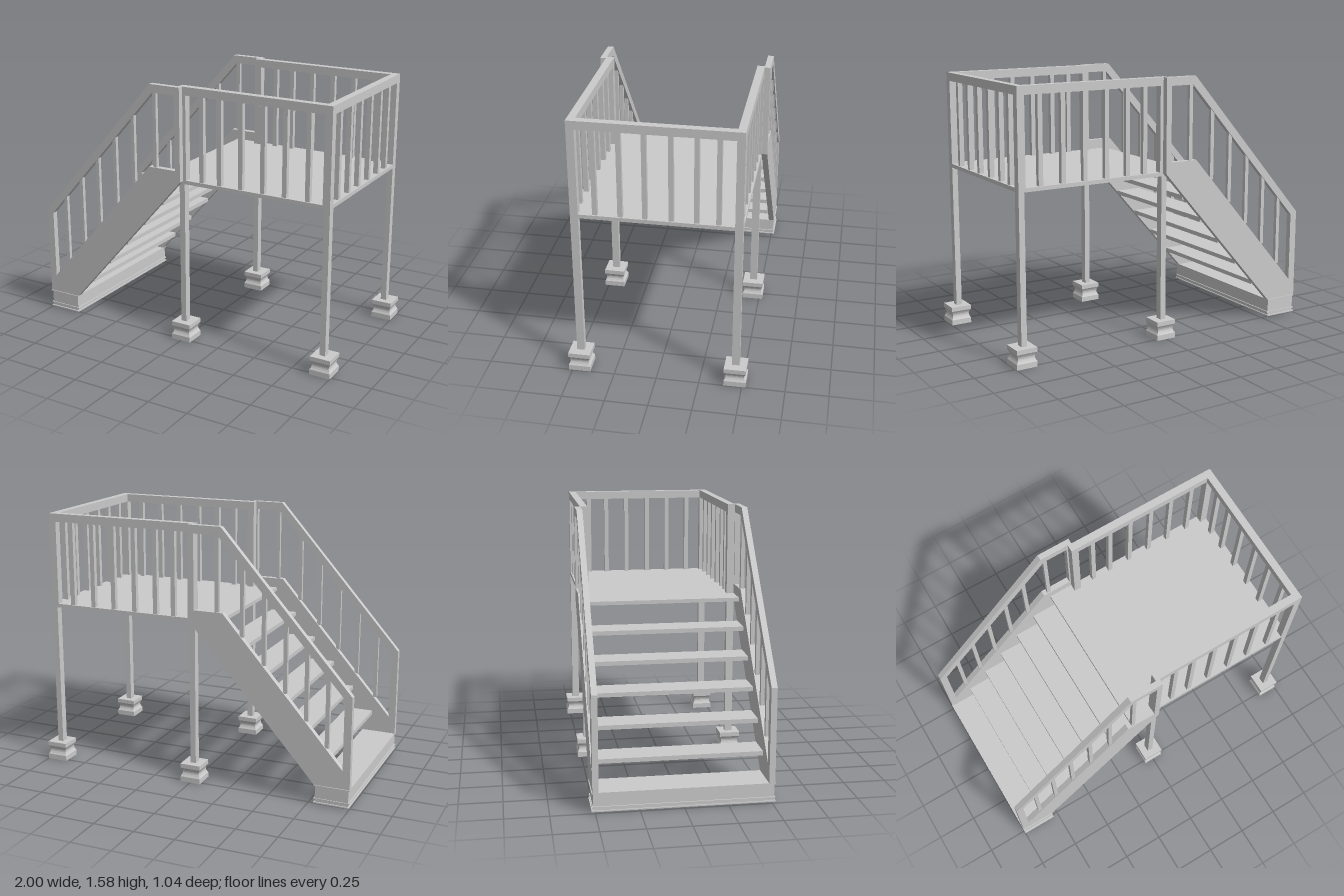
import * as THREE from 'three';

const mat = new THREE.MeshStandardMaterial({ color: 0xcccccc, flatShading: true });

export function createModel() {
  const root = new THREE.Group();
  root.name = 'raisedDeckWithStairs';

  const add = (name, geometry) => {
    const mesh = new THREE.Mesh(geometry, mat);
    mesh.name = name;
    root.add(mesh);
    return mesh;
  };
  // Box given by its limits on each axis
  const box = (name, x0, x1, y0, y1, z0, z1) => {
    const mesh = add(name, new THREE.BoxGeometry(x1 - x0, y1 - y0, z1 - z0));
    mesh.position.set((x0 + x1) / 2, (y0 + y1) / 2, (z0 + z1) / 2);
    return mesh;
  };
  // Same box on the side s (+1 left, -1 right)
  const sideBox = (name, s, x0, x1, y0, y1, z0, z1) =>
    box(name, x0, x1, y0, y1, s > 0 ? z0 : -z1, s > 0 ? z1 : -z0);
  // Flat outline in the x-y plane, given a thickness along z
  const plank = (name, points, s, z0, z1) => {
    const shape = new THREE.Shape(points.map(([x, y]) => new THREE.Vector2(x, y)));
    const geometry = new THREE.ExtrudeGeometry(shape, { depth: z1 - z0, bevelEnabled: false });
    add(name, geometry).position.z = s > 0 ? z0 : -z1;
  };

  const floorY = 1.02, railLow = 1.53, railTop = 1.58;
  const slope = 1.135;

  // Deck floor, its nose forming the last step
  box('deckFloor', -0.17, 0.95, 0.997, floorY, -0.48, 0.48);

  // Footing with a rounded groove running round all four sides
  const profile = [[0, 0], [0.064, 0], [0.064, 0.032], [0.058, 0.042], [0.054, 0.052], [0.053, 0.06],
    [0.054, 0.068], [0.058, 0.078], [0.064, 0.088], [0.064, 0.115], [0, 0.115]];
  const footing = new THREE.LatheGeometry(
    profile.map(([r, y]) => new THREE.Vector2(r * Math.SQRT2, y)), 4);
  footing.rotateY(Math.PI / 4);

  for (const s of [1, -1]) {
    // Legs, footings and upper posts
    sideBox('innerLeg', s, -0.02, 0.015, 0.1, 1.0, 0.435, 0.48);
    sideBox('outerLeg', s, 0.915, 0.95, 0.1, 1.0, 0.435, 0.48);
    for (const x of [0, 0.936]) add('footing', footing).position.set(x, 0, s * 0.458);
    sideBox('innerPost', s, -0.02, 0.025, floorY, railLow, 0.435, 0.48);
    sideBox('cornerPost', s, 0.905, 0.95, floorY, railLow, 0.435, 0.48);

    // Deck side railing
    sideBox('sideRail', s, -0.02, 0.95, railLow, railTop, 0.435, 0.48);
    for (const x of [0.125, 0.243, 0.383, 0.525, 0.664, 0.807])
      sideBox('sideBaluster', s, x - 0.014, x + 0.014, floorY, railLow, 0.443, 0.472);

    // Stair stringer
    plank('stringer', [[-1, 0.12], [-0.785, 0.12], [0.005, 1.015], [0.005, 1.08],
      [-0.21, 1.08], [-1, 0.18]], s, 0.48, 0.515);

    // Stair handrail with its end posts
    plank('stairRail', [[-1, 0.18], [-0.955, 0.231], [-0.955, 0.66], [-0.18, railLow],
      [-0.03, railLow], [-0.03, 1.08], [0.005, 1.08], [0.005, railTop],
      [-0.2, railTop], [-1, 0.675]], s, 0.48, 0.515);

    // Stair balusters follow the slope
    for (const x of [-0.855, -0.727, -0.597, -0.464, -0.329, -0.172]) {
      const low = Math.min(1.07, 0.22 + (x + 0.97) * slope);
      const high = Math.min(1.54, 0.68 + (x + 0.955) * slope);
      sideBox('stairBaluster', s, x - 0.012, x + 0.012, low, high, 0.486, 0.509);
    }
  }

  // Deck end railing
  box('endRail', 0.905, 0.95, railLow, railTop, -0.435, 0.435);
  for (const z of [0.342, 0.2, 0.062, -0.084, -0.224, -0.345])
    box('endBaluster', 0.913, 0.942, floorY, railLow, z - 0.014, z + 0.014);

  // Open treads
  for (let i = 0; i < 5; i++) {
    const x = -0.845 + i * 0.135, y = 0.257 + i * 0.1525;
    box('tread', x, x + 0.17, y - 0.026, y, -0.48, 0.48);
  }

  // Base step with thin lips
  box('baseStep', -0.993, -0.792, 0.012, 0.117, -0.512, 0.512);
  box('baseTopLip', -1, -0.785, 0.113, 0.12, -0.52, 0.52);
  box('baseMiddleLip', -1, -0.785, 0.03, 0.038, -0.517, 0.517);
  box('baseBottomLip', -1, -0.785, 0.008, 0.015, -0.52, 0.52);

  return root;
}
